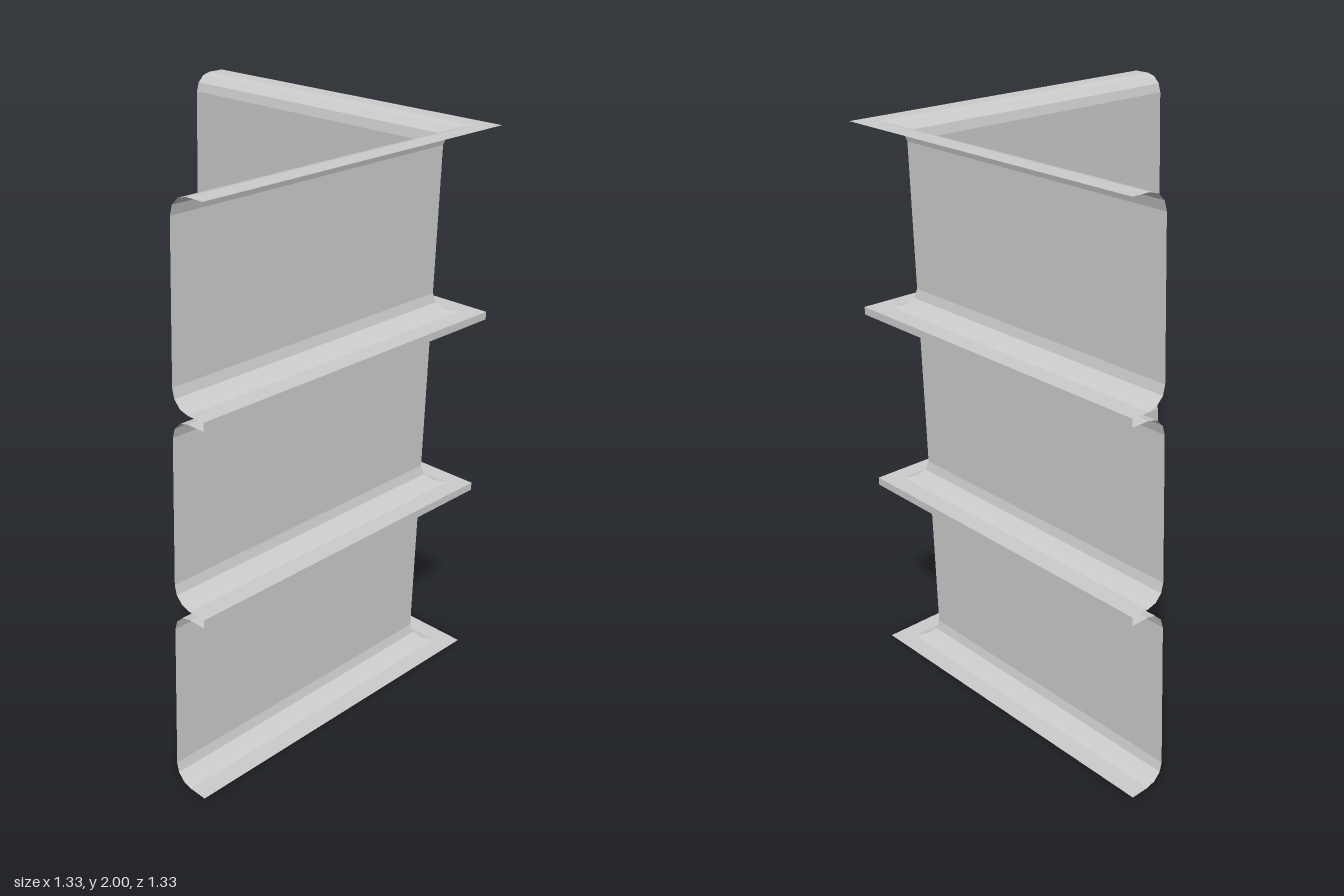
import * as THREE from 'three';

const END = 0.667;   // free ends of both wings
const OUTER = 0.667; // lip edge
const WALL = 0.534;  // wall plane
const R = 0.067;     // cove radius
const STEPS = 3;     // facets per cove

// Sweep a profile of [offset, y] pairs around the mitred L-shaped corner
function sweep(profile) {
  const pos = [];
  const rings = profile.map(([d, y]) => [[-END, y, d], [d, y, d], [d, y, -END]]);
  for (let j = 0; j < rings.length - 1; j++) {
    for (let i = 0; i < 2; i++) {
      const a = rings[j][i], b = rings[j][i + 1];
      const c = rings[j + 1][i + 1], d = rings[j + 1][i];
      pos.push(...a, ...b, ...c, ...a, ...c, ...d);
    }
  }
  const g = new THREE.BufferGeometry();
  g.setAttribute('position', new THREE.Float32BufferAttribute(pos, 3));
  g.computeVertexNormals();
  return g;
}

// Wall with a faceted cove and flat lip at its foot and head
function panelProfile(y0, y1) {
  const low = [[OUTER, y0]], high = [[OUTER, y1]];
  for (let k = 0; k <= STEPS; k++) {
    const t = (k / STEPS) * Math.PI / 2;
    const d = WALL + R - R * Math.sin(t), h = R - R * Math.cos(t);
    low.push([d, y0 + h]);
    high.push([d, y1 - h]);
  }
  return [...low, ...high.reverse()];
}

export function createModel() {
  const group = new THREE.Group();
  const grey = new THREE.MeshStandardMaterial({ color: 0xcccccc, side: THREE.DoubleSide, flatShading: true });
  grey.name = 'light grey';

  const add = (name, profile) => {
    const mesh = new THREE.Mesh(sweep(profile), grey);
    mesh.name = name;
    group.add(mesh);
  };

  // Three stacked corner panels
  const levels = [[0, 0.655], [0.684, 1.322], [1.35, 2]];
  levels.forEach(([y0, y1], i) => add(`cornerPanel${i + 1}`, panelProfile(y0, y1)));

  // Narrow rims closing the gap between neighbouring lips
  for (let i = 0; i < 2; i++) {
    add(`ledgeRim${i + 1}`, [[OUTER, levels[i][1]], [OUTER, levels[i + 1][0]]]);
  }
  return group;
}
